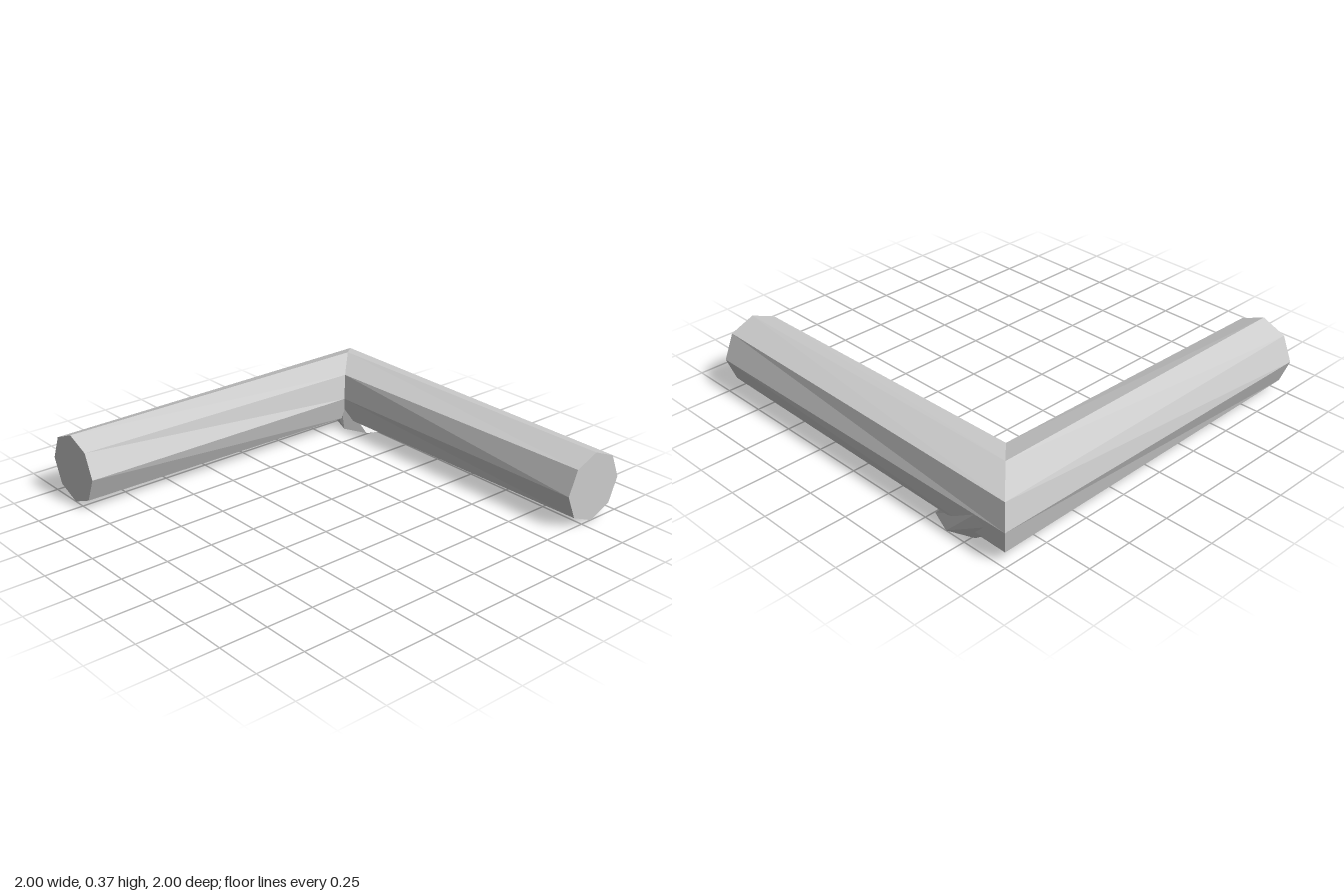
import * as THREE from 'three';

const R = 0.1825; // pipe radius, also its axis height
const C = 1 - R; // pipe axis offset from the centre
const SIDES = 8;

// Octagon in (u, v), with the diagonal corners optionally pushed out along u
function octagon(diagonal = R * Math.SQRT1_2) {
  return Array.from({ length: SIDES }, (_, i) => {
    const t = (i * Math.PI * 2) / SIDES;
    const u = i % 2 ? Math.sign(Math.cos(t)) * diagonal : R * Math.cos(t);
    return [u, R * Math.sin(t)];
  });
}

// Faceted tube from ring a to ring b, capped at b
function loft(name, a, b, material) {
  const centre = b.reduce((s, p) => s.add(p), new THREE.Vector3()).divideScalar(SIDES);
  const points = [];
  for (let i = 0; i < SIDES; i++) {
    const j = (i + 1) % SIDES;
    points.push(a[i], a[j], b[j], a[i], b[j], b[i], centre, b[i], b[j]);
  }
  const geometry = new THREE.BufferGeometry().setFromPoints(points);
  geometry.computeVertexNormals();
  const mesh = new THREE.Mesh(geometry, material);
  mesh.name = name;
  return mesh;
}

export function createModel() {
  const group = new THREE.Group();
  group.name = 'pipeCorner';
  const material = new THREE.MeshStandardMaterial({ color: 0xcccccc, flatShading: true });
  const vec = (x, y, z) => new THREE.Vector3(x, y, z);
  const end = octagon();
  const mitre = octagon(0.155);

  // Arm running forward from the mitred corner
  group.add(loft('frontArm',
    mitre.map(([u, v]) => vec(C + u, R + v, -C - u)),
    end.map(([u, v]) => vec(C + u, R + v, 1)), material));

  // Arm running sideways from the same corner
  group.add(loft('sideArm',
    mitre.map(([u, v]) => vec(C + u, R - v, -C - u)),
    end.map(([u, v]) => vec(-1, R - v, -C - u)), material));

  // Short slanted stub with a flat underside
  group.add(loft('lowerStub',
    octagon(0.168).map(([u, v]) => vec(C + u, R, -C + v)),
    end.map(([u, v]) => vec(C + u, 0, -C + R + v)), material));

  return group;
}
